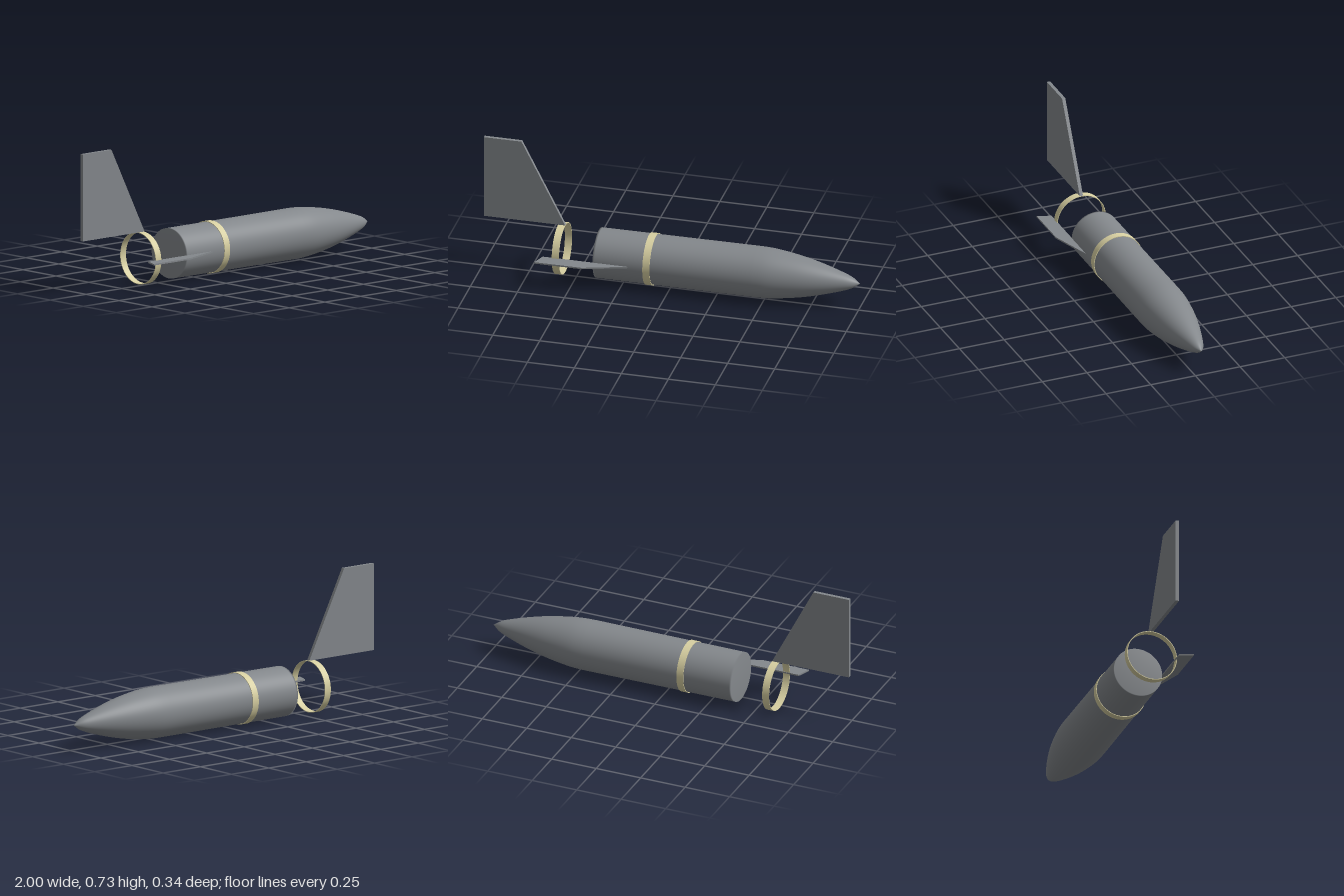
import * as THREE from 'three';
import { toCreasedNormals } from 'three/addons/utils/BufferGeometryUtils.js';

const AXIS_Y = 0.138, AXIS_Z = -0.033; // centre line of the body

export function createModel() {
  const model = new THREE.Group();
  model.name = 'finnedRocketBody';

  const grey = new THREE.MeshStandardMaterial({ color: 0x84888c });
  grey.name = 'grey metal';
  const cream = new THREE.MeshStandardMaterial({ color: 0xd8d0a2 });
  cream.name = 'cream band';

  function add(name, geometry, material, x, y, z) {
    const mesh = new THREE.Mesh(geometry, material);
    mesh.name = name;
    mesh.position.set(x, y, z);
    model.add(mesh);
  }

  // Turn a [x, radius] profile around the x axis
  function turned(profile) {
    const points = profile.map(([x, r]) => new THREE.Vector2(r, x));
    return new THREE.LatheGeometry(points, 64).rotateZ(-Math.PI / 2);
  }

  // Flat plate of constant thickness, centred on z = 0
  function plate(corners, depth) {
    const shape = new THREE.Shape(corners.map(([x, y]) => new THREE.Vector2(x, y)));
    return new THREE.ExtrudeGeometry(shape, { depth, bevelEnabled: false })
      .translate(0, 0, -depth / 2);
  }

  // Body with a flat tail and a long curved nose
  const nose = new THREE.SplineCurve([
    [0.45, 0.133], [0.52, 0.131], [0.6, 0.122], [0.7, 0.105],
    [0.8, 0.081], [0.9, 0.051], [0.96, 0.028], [1, 0],
  ].map(([x, r]) => new THREE.Vector2(x, r))).getPoints(28).map((p) => [p.x, Math.max(0, p.y)]);
  nose[nose.length - 1] = [1, 0];
  const body = turned([[-0.39, 0], [-0.39, 0.131], [-0.38, 0.131], [0.1, 0.132], ...nose]);
  add('body', body, grey, 0, AXIS_Y, AXIS_Z);

  // Band on the body and free ring behind it
  const w = 0.019, outer = 0.136, inner = 0.1325;
  const ring = toCreasedNormals(
    turned([[-w, inner], [-w, outer], [w, outer], [w, inner], [-w, inner]]), 0.6);
  add('bodyBand', ring, cream, -0.105, AXIS_Y, AXIS_Z);
  add('rearRing', ring, cream, -0.587, AXIS_Y, AXIS_Z);

  // Upright tail fin
  add('tailFin', plate([[-1, 0.275], [-0.568, 0.275], [-0.8, 0.73], [-1, 0.73]], 0.018),
    grey, 0, 0, AXIS_Z);

  // Single horizontal fin on the front side
  const sideFin = plate([[-0.655, 0.097], [-0.2, 0.097], [-0.43, 0.169], [-0.682, 0.169]], 0.008)
    .rotateX(Math.PI / 2);
  add('sideFin', sideFin, grey, 0, 0.14, 0);

  return model;
}
